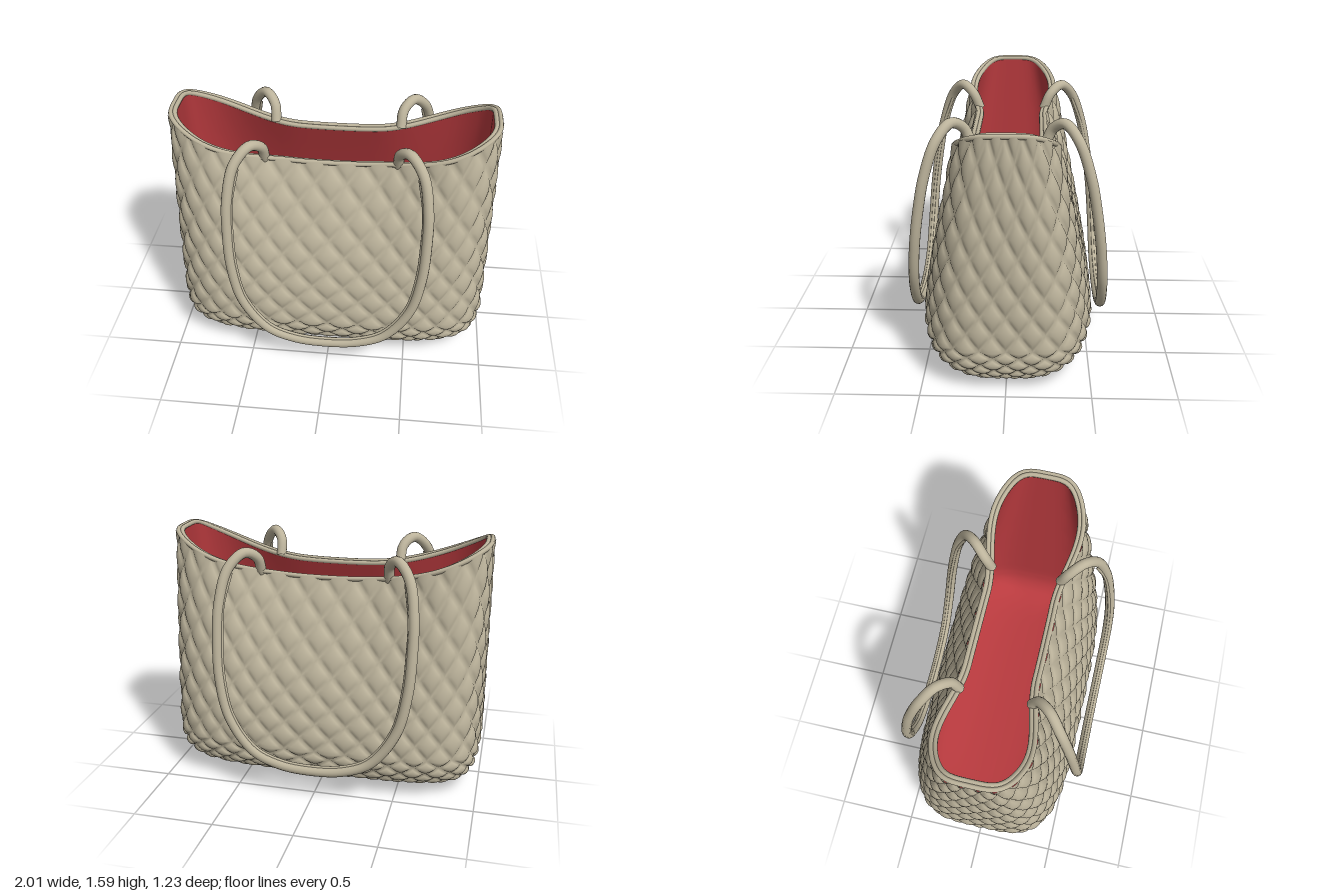
import * as THREE from 'three';

const COLS = 32;      // quilt diamonds around the bag
const ROWS = 11;      // quilt diamonds from base seam to rim
const BASE_ROWS = 6;  // rows that belong to the rounded base
const SUB = 8;        // grid cells per diamond

// Base rows as (half width, half depth, height)
const baseProfile = new THREE.CatmullRomCurve3([
  [0.6, 0, 0.018], [0.72, 0.12, 0.022], [0.81, 0.23, 0.037], [0.88, 0.33, 0.066],
  [0.93, 0.42, 0.112], [0.965, 0.48, 0.185], [0.98, 0.505, 0.285],
].map((p) => new THREE.Vector3(...p)), false, 'catmullrom', 0.5);

// Smooth bag surface: p runs around (0..COLS), q runs from the base seam to the rim
function bagPoint(p, q) {
  const phi = (p / COLS) * Math.PI * 2;
  const th = phi + 0.13 * Math.sin(2 * phi) + 0.07 * Math.sin(4 * phi);
  const c = Math.cos(th), s = Math.sin(th);
  const r = Math.pow(c ** 4 + s ** 4, -0.25);
  const cx = c * r, cz = s * r;
  if (q <= BASE_ROWS) {
    const b = baseProfile.getPoint(Math.max(q, 0) / BASE_ROWS);
    return new THREE.Vector3(b.x * cx, b.z, b.y * cz);
  }
  // Walls lean inward, are pinched mid-front, and end at a dipped rim
  const w = (q - BASE_ROWS) / (ROWS - BASE_ROWS);
  const t = 0.8 * w + 0.2 * w * w;
  const rim = 1.33 + 0.235 * Math.abs(cx) ** 2.6;
  const y = 0.285 + (rim - 0.285) * t;
  const depth = 0.505 - 0.156 * Math.pow(y - 0.285, 1.38);
  const pinch = 0.36 * t * t * (1 - THREE.MathUtils.smoothstep(Math.abs(cx), 0.25, 0.85));
  return new THREE.Vector3(0.98 * cx, y, depth * (1 - pinch) * cz);
}

// Surface point moved along the outward normal
function offsetPoint(p, q, d) {
  const e = 0.02, pos = bagPoint(p, q);
  if (q < 0.01) return pos.add(new THREE.Vector3(0, -d, 0));
  const q0 = Math.max(q - e, 0), q1 = Math.min(q + e, ROWS);
  const up = bagPoint(p, q1).sub(bagPoint(p, q0));
  const around = bagPoint(p + e, q).sub(bagPoint(p - e, q));
  return pos.addScaledVector(up.cross(around).normalize(), d);
}

// Diamond cushions, zero along the stitch lines
const cushion = (p, q) => 0.023 * Math.sqrt(
  Math.abs(Math.sin(Math.PI * (p + q)) * Math.sin(Math.PI * (p - q))));

// Closed sheet around the bag; cell diagonals follow the stitch lines
function sheet(sub, offset, inward) {
  const nu = COLS * sub, nv = ROWS * sub, pos = [], idx = [];
  for (let j = 0; j <= nv; j++) {
    for (let i = 0; i < nu; i++) {
      const p = i / sub, q = j / sub;
      pos.push(...offsetPoint(p, q, offset(p, q)).toArray());
    }
  }
  const tri = (a, b, c) => idx.push(...(inward ? [a, c, b] : [a, b, c]));
  for (let j = 0; j < nv; j++) {
    for (let i = 0; i < nu; i++) {
      const k = (i + 1) % nu;
      const a = j * nu + i, b = j * nu + k, c = (j + 1) * nu + k, d = (j + 1) * nu + i;
      const half = sub / 2;
      const main = (i - j + nv) % sub === 0 ||
        ((i + j + 1) % sub !== 0 && (i % sub < half) === (j % sub < half));
      if (main) { tri(a, d, c); tri(a, c, b); } else { tri(a, d, b); tri(b, d, c); }
    }
  }
  const g = new THREE.BufferGeometry();
  g.setAttribute('position', new THREE.Float32BufferAttribute(pos, 3));
  g.setIndex(idx);
  g.computeVertexNormals();
  return g;
}

// Piping that follows the rim
function rimBead(offset, radius) {
  const pts = [];
  for (let i = 0; i < COLS * 3; i++) pts.push(offsetPoint(i / 3, ROWS, offset));
  return new THREE.TubeGeometry(new THREE.CatmullRomCurve3(pts, true), 192, radius, 8, true);
}

export function createModel() {
  const group = new THREE.Group();
  const leather = new THREE.MeshStandardMaterial({ color: 0xbdb49c });
  const red = new THREE.MeshStandardMaterial({ color: 0xb83a3e });
  const add = (parent, name, geometry, material) => {
    const m = new THREE.Mesh(geometry, material);
    m.name = name;
    parent.add(m);
    return m;
  };

  add(group, 'quiltedBody', sheet(SUB, cushion, false), leather);
  add(group, 'lining', sheet(3, () => -0.03, true), red);
  add(group, 'outerRimPiping', rimBead(0.004, 0.015), leather);
  add(group, 'innerRimPiping', rimBead(-0.02, 0.015), leather);

  // Handle: half of the loop, mirrored, hanging in front of the wall
  const half = [
    [0.4, 1.34, 0.215], [0.41, 1.44, 0.26], [0.47, 1.485, 0.33], [0.55, 1.4, 0.41],
    [0.59, 1.2, 0.48], [0.595, 1.0, 0.52], [0.58, 0.75, 0.555], [0.52, 0.5, 0.575],
    [0.37, 0.29, 0.583], [0.2, 0.215, 0.585],
  ];
  const loop = [
    ...half, [0, 0.195, 0.585],
    ...half.map(([x, y, z]) => [-x, y, z]).reverse(),
  ].map((p) => new THREE.Vector3(...p));
  const strap = new THREE.TubeGeometry(new THREE.CatmullRomCurve3(loop), 160, 0.032, 14);
  // Stitched seam along the inside edge of the loop
  const middle = new THREE.Vector3(0, 0.85, 0);
  const seamPath = loop.slice(3, -3).map((p) => {
    const dir = middle.clone().sub(p).setZ(0).normalize();
    return p.clone().addScaledVector(dir, 0.03);
  });
  const seam = new THREE.TubeGeometry(new THREE.CatmullRomCurve3(seamPath), 120, 0.01, 8);

  for (const [name, turn] of [['frontHandle', 0], ['backHandle', Math.PI]]) {
    const handle = new THREE.Group();
    handle.name = name;
    handle.rotation.y = turn;
    add(handle, 'strap', strap, leather);
    add(handle, 'strapSeam', seam, leather);
    group.add(handle);
  }
  return group;
}
